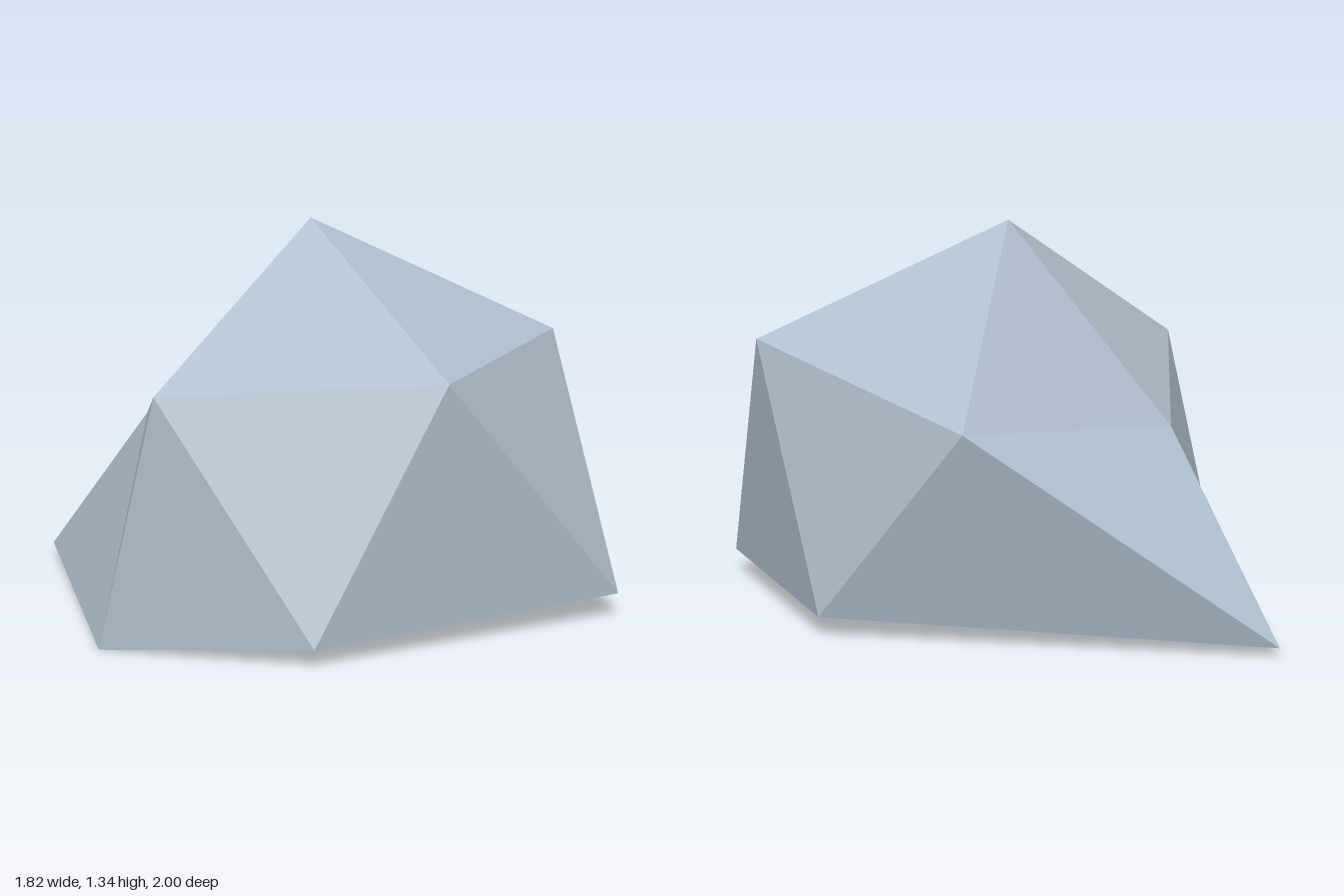
import * as THREE from 'three';

// Low-poly boulder: an apex, two staggered rings of five corners, and a nearly flat base
const APEX = [-0.02, 1.34, 0];
const UPPER = [[0.2, 0.865, 0.845], [0.855, 0.93, 0.08], [0.265, 0.73, -0.84], [-0.55, 0.64, -0.25], [-0.75, 0.845, 0.71]];
const LOWER = [[-0.3, 0.055, 1], [0.905, 0.075, 0.6], [0.7, 0.065, -0.48], [-0.75, 0.03, -1], [-0.91, 0, 0.58]];
const BASE = [0, 0.045, 0.1];

function boulderGeometry() {
  const corners = [];
  const face = (a, b, c) => corners.push(...a, ...b, ...c);
  for (let i = 0; i < 5; i++) {
    const j = (i + 1) % 5;
    face(APEX, UPPER[i], UPPER[j]); // cap
    face(UPPER[i], LOWER[i], LOWER[j]); // side, pointing up
    face(UPPER[i], LOWER[j], UPPER[j]); // side, pointing down
    face(BASE, LOWER[j], LOWER[i]); // underside
  }
  const geometry = new THREE.BufferGeometry();
  geometry.setAttribute('position', new THREE.Float32BufferAttribute(corners, 3));
  geometry.computeVertexNormals();
  return geometry;
}

export function createModel() {
  const stone = new THREE.MeshStandardMaterial({ color: 0xb0c0ce });
  stone.name = 'blueGreyStone';
  stone.flatShading = true;

  const boulder = new THREE.Mesh(boulderGeometry(), stone);
  boulder.name = 'boulder';

  const model = new THREE.Group();
  model.name = 'rock';
  model.add(boulder);
  return model;
}
